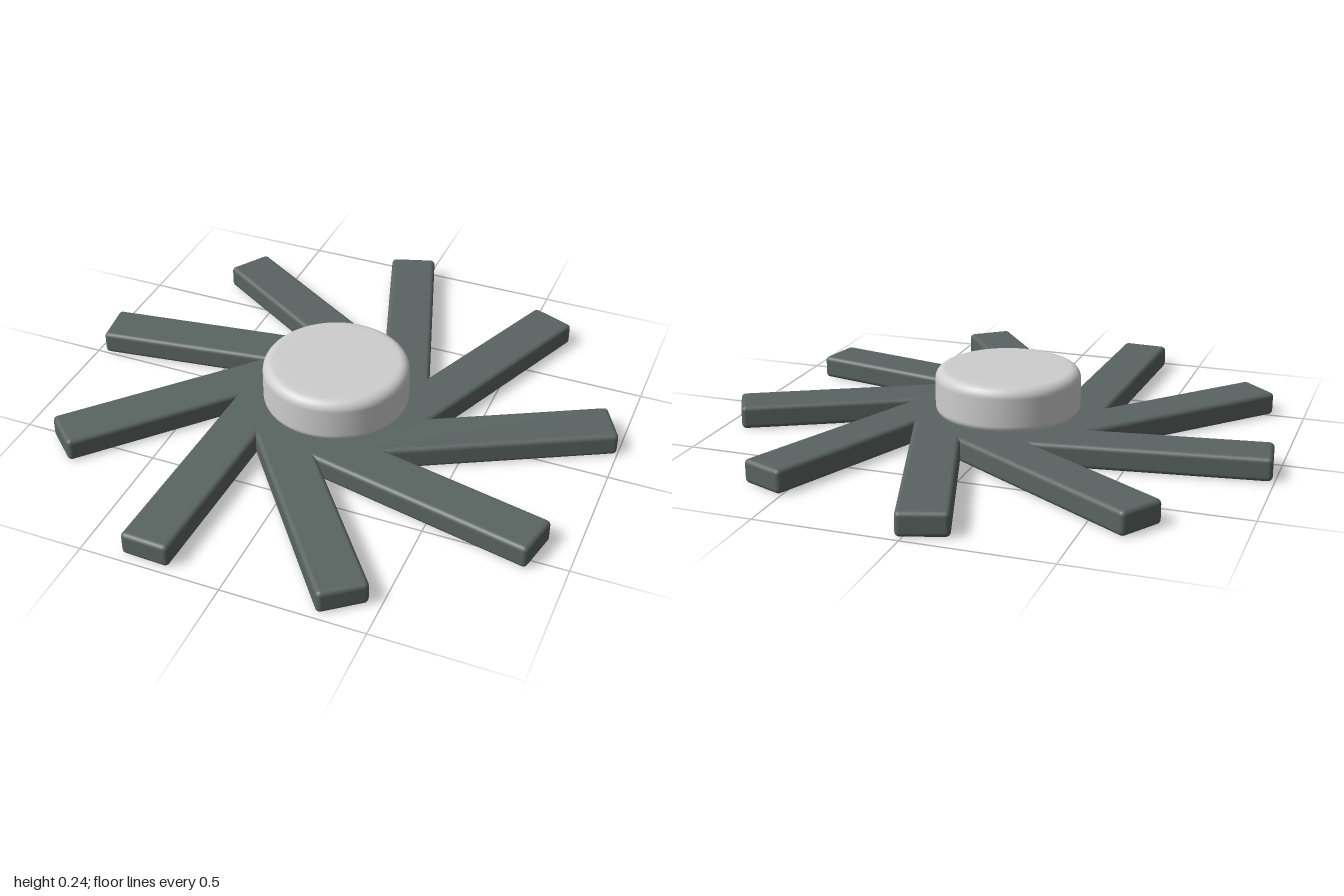
import * as THREE from 'three';
import { RoundedBoxGeometry } from 'three/addons/geometries/RoundedBoxGeometry.js';

export function createModel() {
  const model = new THREE.Group();
  model.name = 'pinwheelTrivet';

  const slate = new THREE.MeshStandardMaterial({ color: 0x5a6461 });
  slate.name = 'slateGrey';
  const pale = new THREE.MeshStandardMaterial({ color: 0xcecece });
  pale.name = 'paleGrey';

  // Nine bars, each set off to one side of the axis, leaving an open centre
  const COUNT = 9, START = 0, END = 0.957, WIDTH = 0.173, HEIGHT = 0.085, OFFSET = 0.246;
  const wheel = new THREE.Group();
  wheel.name = 'wheel';
  const barGeometry = new RoundedBoxGeometry(END - START, HEIGHT, WIDTH, 3, 0.017);
  barGeometry.translate((START + END) / 2, HEIGHT / 2, OFFSET);
  for (let i = 0; i < COUNT; i++) {
    const bar = new THREE.Mesh(barGeometry, slate);
    bar.name = `bar${i + 1}`;
    bar.rotation.y = -THREE.MathUtils.degToRad(92 + (i * 360) / COUNT);
    wheel.add(bar);
  }

  // Round cap with softened rims, resting on the bars
  const R = 0.262, BOTTOM = 0.077, TOP = 0.243;
  const profile = [new THREE.Vector2(0, BOTTOM), new THREE.Vector2(R - 0.06, BOTTOM)];
  const addRim = (y, r, from) => {
    for (let i = 0; i <= 6; i++) {
      const a = from + (i / 6) * (Math.PI / 2);
      profile.push(new THREE.Vector2(R - r + r * Math.cos(a), y + r * Math.sin(a)));
    }
  };
  addRim(BOTTOM + 0.03, 0.03, -Math.PI / 2);
  addRim(TOP - 0.037, 0.037, 0);
  profile.push(new THREE.Vector2(R - 0.06, TOP), new THREE.Vector2(0, TOP));
  const cap = new THREE.Mesh(new THREE.LatheGeometry(profile, 64), pale);
  cap.name = 'cap';
  wheel.add(cap);

  wheel.position.z = 0.025;
  model.add(wheel);
  return model;
}
